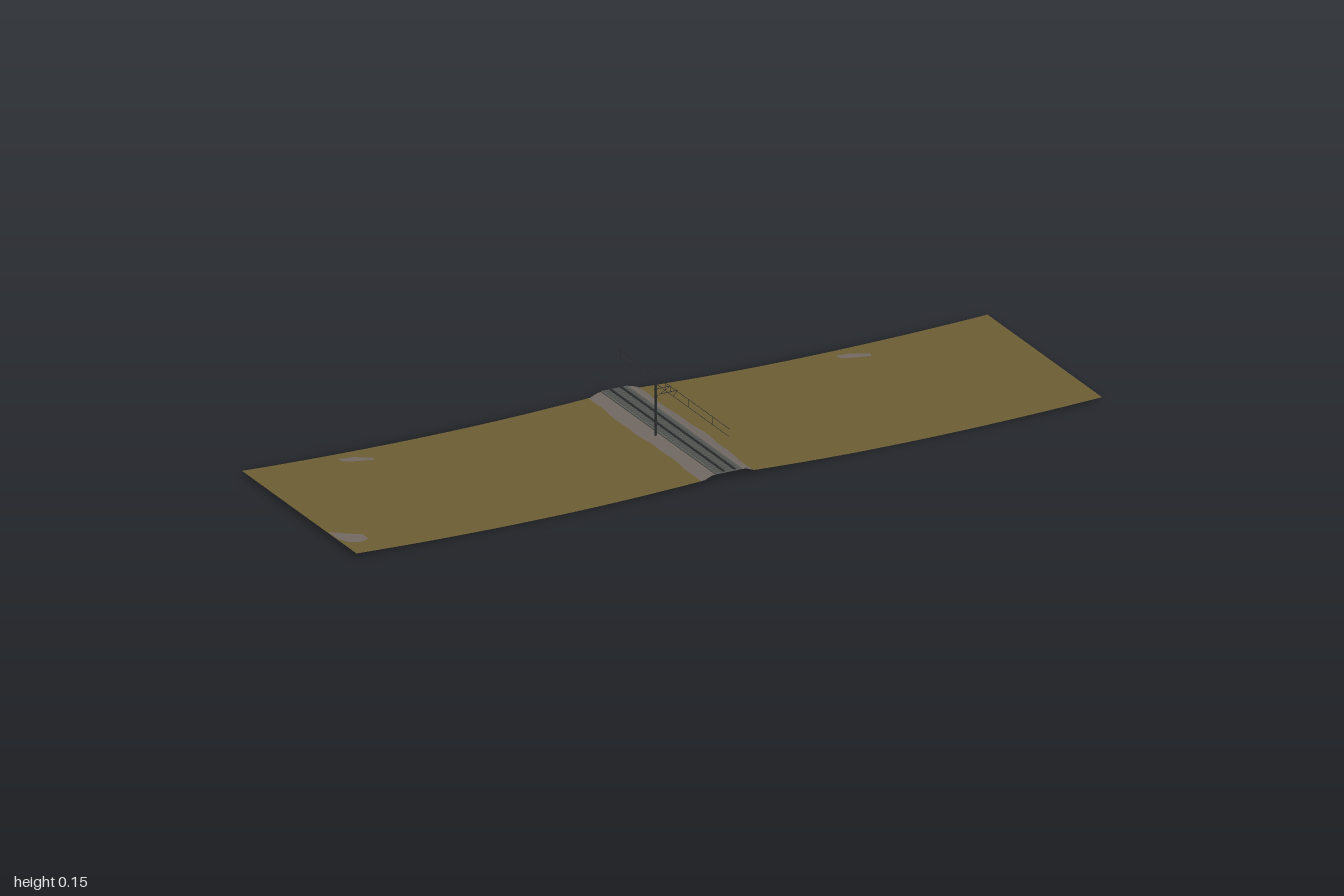
import * as THREE from 'three';

const HALF = 0.285; // half of the length along the track

export function createModel() {
  const model = new THREE.Group();
  const mat = (name, color, side = THREE.FrontSide) => {
    const m = new THREE.MeshStandardMaterial({ color, side });
    m.name = name;
    return m;
  };
  const grass = mat('dry grass', 0x6b5c33, THREE.DoubleSide);
  const gravel = mat('gravel', 0x716862, THREE.DoubleSide);
  const bedGrey = mat('track bed grey', 0x565955);
  const tieGrey = mat('sleeper grey', 0x4b4e4b);
  const steel = mat('dark steel', 0x292c2d);

  const add = (name, geo, material, x = 0, y = 0, z = 0) => {
    const mesh = new THREE.Mesh(geo, material);
    mesh.name = name;
    mesh.position.set(x, y, z);
    model.add(mesh);
    return mesh;
  };

  // Ground height: each side sags and lifts towards the track
  const ground = (x) => {
    const t = (Math.abs(x) - 0.5) / 0.5;
    return (t > 0 ? 0.011 : 0.015) * t * t;
  };

  // Open sheet between two edges x0(z) and x1(z)
  const sheet = (x0, x1, nx, nz, height) => {
    const geo = new THREE.PlaneGeometry(1, 2 * HALF, nx, nz).rotateX(-Math.PI / 2);
    const p = geo.attributes.position;
    for (let i = 0; i < p.count; i++) {
      const z = p.getZ(i);
      const x = THREE.MathUtils.lerp(x0(z), x1(z), p.getX(i) + 0.5);
      p.setXYZ(i, x, height(x), z);
    }
    geo.computeVertexNormals();
    return geo;
  };

  // Uneven edges of the gravel
  const leftEdge = (z) => 0.068 + 0.004 * Math.sin(z * 14 + 1) + 0.002 * Math.sin(z * 47);
  const rightEdge = (z) => -0.073 + 0.003 * Math.sin(z * 17) + 0.0015 * Math.sin(z * 53);
  add('leftField', sheet(leftEdge, () => 1, 20, 24, ground), grass);
  add('rightField', sheet(() => -1, rightEdge, 20, 24, ground), grass);

  // Ballast: two shoulders and a flat top
  const rise = (x) => {
    const t = THREE.MathUtils.clamp((0.066 - Math.abs(x)) / 0.022, 0, 1);
    return THREE.MathUtils.lerp(ground(x), 0.02, t);
  };
  add('leftShoulder', sheet(() => 0.044, leftEdge, 5, 24, rise), gravel);
  add('rightShoulder', sheet(rightEdge, () => -0.044, 5, 24, rise), gravel);
  add('ballastTop', sheet(() => -0.044, () => 0.044, 1, 1, () => 0.02), gravel);

  // Bare gravel patches lying on the grass
  const patch = (points) => {
    const geo = new THREE.ShapeGeometry(new THREE.Shape(points.map(([x, z]) => new THREE.Vector2(x, -z))));
    geo.rotateX(-Math.PI / 2);
    const p = geo.attributes.position;
    for (let i = 0; i < p.count; i++) p.setY(i, ground(p.getX(i)) + 0.0012);
    geo.computeVertexNormals();
    add('gravelPatch', geo, gravel);
  };
  for (const x of [-0.72, 0.615]) {
    patch([[x - 0.04, -0.255], [x, -0.25], [x + 0.04, -0.225], [x + 0.035, -0.213],
      [x, -0.222], [x - 0.035, -0.235]]);
  }
  patch([[-0.998, 0.14], [-0.965, 0.165], [-0.93, 0.185], [-0.93, 0.215],
    [-0.955, 0.228], [-0.985, 0.215], [-0.998, 0.19]]);

  // Track bed, sleepers and rails
  add('trackBed', new THREE.BoxGeometry(0.072, 0.0025, 2 * HALF), bedGrey, -0.001, 0.0212, 0);
  const sleeper = new THREE.BoxGeometry(0.06, 0.0016, 0.006);
  for (let i = 0; i < 47; i++) {
    add('sleeper', sleeper, tieGrey, -0.001, 0.0226, -0.276 + i * 0.012);
  }
  const railShape = new THREE.Shape();
  [[-0.003, 0], [0.003, 0], [0.003, 0.0006], [0.0008, 0.0012], [0.0018, 0.002], [0.0018, 0.0032],
    [-0.0018, 0.0032], [-0.0018, 0.002], [-0.0008, 0.0012], [-0.003, 0.0006]]
    .forEach(([x, y], i) => (i ? railShape.lineTo(x, y) : railShape.moveTo(x, y)));
  const rail = new THREE.ExtrudeGeometry(railShape, { depth: 2 * HALF, bevelEnabled: false });
  for (const x of [-0.014, 0.015]) add('rail', rail, steel, x, 0.0232, -HALF);

  // Straight rod between two points
  const rod = (name, a, b, r) => {
    const from = new THREE.Vector3(...a), to = new THREE.Vector3(...b);
    const mesh = add(name, new THREE.CylinderGeometry(r, r, from.distanceTo(to), 6), steel);
    mesh.position.copy(from).lerp(to, 0.5);
    mesh.quaternion.setFromUnitVectors(new THREE.Vector3(0, 1, 0), to.sub(from).normalize());
  };

  // Mast with its bracket arms
  const mx = -0.047, mz = 0.006;
  add('mast', new THREE.BoxGeometry(0.004, 0.133, 0.0035), steel, mx, 0.0845, mz);
  add('mastBox', new THREE.BoxGeometry(0.006, 0.006, 0.005), steel, mx, 0.055, mz);
  for (const y of [0.136, 0.117]) {
    add('mastClamp', new THREE.BoxGeometry(0.006, 0.002, 0.007), steel, mx, y, mz);
  }
  rod('topArm', [mx, 0.138, mz], [-0.008, 0.138, mz], 0.0008);
  rod('hanger', [-0.008, 0.138, mz], [-0.008, 0.122, mz], 0.0008);
  rod('brace', [mx, 0.117, mz], [-0.008, 0.138, mz], 0.0007);
  rod('registrationArm', [-0.032, 0.123, mz], [0.012, 0.123, mz], 0.0008);
  rod('steadyArm', [0.012, 0.123, mz], [0, 0.11, mz], 0.0006);

  // Overhead wires and droppers
  for (const y of [0.13, 0.11]) rod('overheadWire', [0, y, -HALF], [0, y, HALF], 0.0006);
  for (const z of [0.202, 0.08, -0.033, -0.155, -0.254]) {
    rod('dropper', [0, 0.11, z], [0, 0.13, z], 0.0006);
  }
  return model;
}
